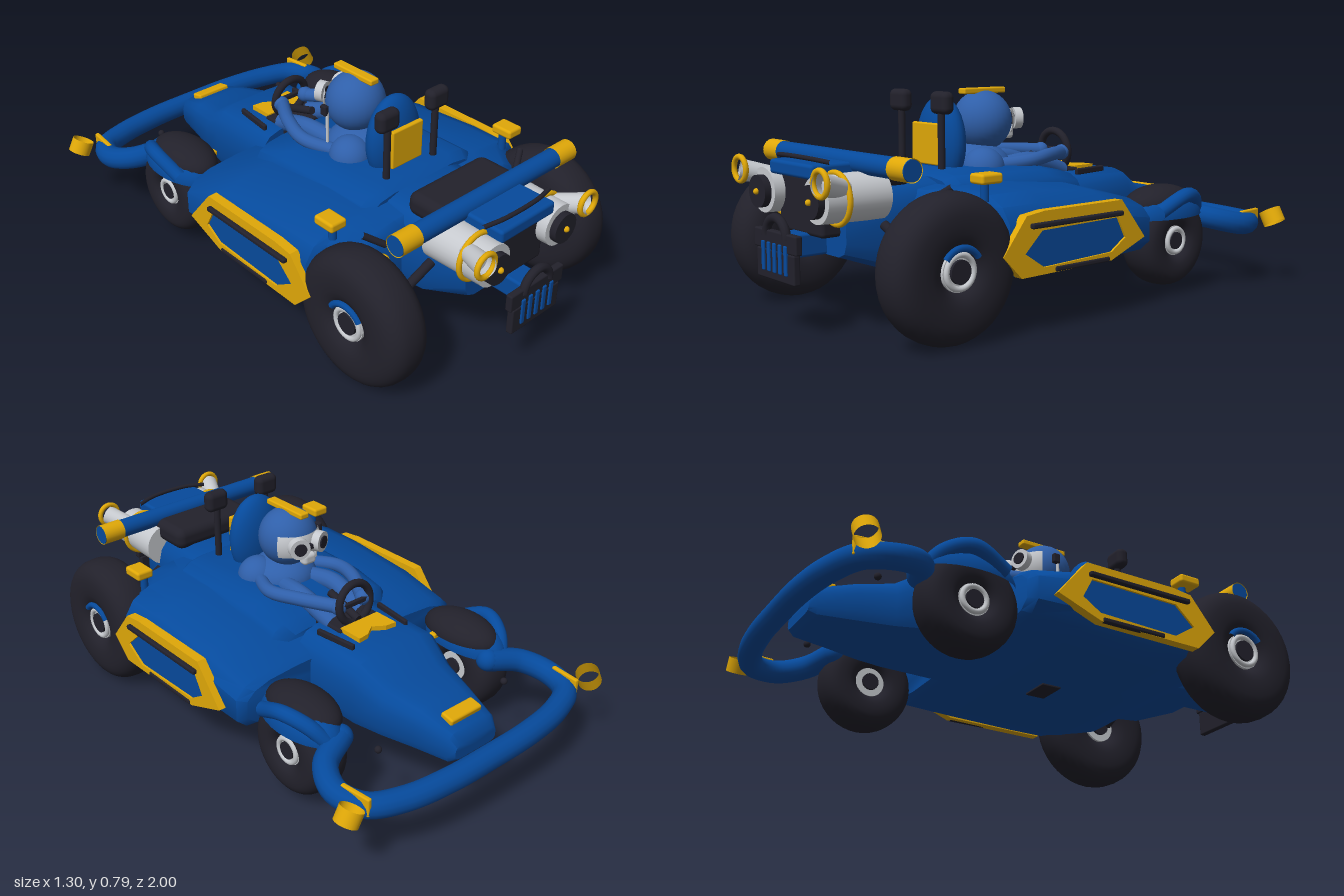
import * as THREE from 'three';
import { toCreasedNormals } from 'three/addons/utils/BufferGeometryUtils.js';
import { RoundedBoxGeometry } from 'three/addons/geometries/RoundedBoxGeometry.js';

const mat = (name, color, side = THREE.FrontSide) => {
  const m = new THREE.MeshStandardMaterial({ color, side });
  m.name = name;
  return m;
};

export function createModel() {
  const blue = mat('body blue', 0x064a9c);
  const suit = mat('suit blue', 0x2f5fa9);
  const dark = mat('rubber black', 0x22212b);
  const gold = mat('gold trim', 0xe0a808, THREE.DoubleSide);
  const silver = mat('silver', 0xc6c9ce, THREE.DoubleSide);
  const model = new THREE.Group();
  model.name = 'kart';

  const add = (name, geo, material, pos = [0, 0, 0], rot = [0, 0, 0], scale = [1, 1, 1]) => {
    const m = new THREE.Mesh(geo, material);
    m.name = name;
    m.position.set(...pos);
    m.rotation.set(...rot);
    m.scale.set(...scale);
    model.add(m);
  };
  const box = (w, h, d, r = 0.01) => new RoundedBoxGeometry(w, h, d, 3, r);
  const cyl = (r, h, r2 = r, open = false) => new THREE.CylinderGeometry(r, r2, h, 28, 1, open);
  const ball = (r) => new THREE.SphereGeometry(r, 28, 20);
  const tube = (pts, r, n = 32) => new THREE.TubeGeometry(
    new THREE.CatmullRomCurve3(pts.map((p) => new THREE.Vector3(...p))), n, r, 14);
  const both = (fn) => [1, -1].forEach(fn);
  const H = Math.PI / 2;

  // Shell through sections [z, half width, bottom, top], z rising
  const half = [[0.72, 0], [0.92, 0.07], [1, 0.25], [1, 0.66], [0.93, 0.84], [0.8, 0.95], [0.55, 1]];
  const ring = [...half, ...half.map(([x, y]) => [-x, y]).reverse()];
  const loft = (sections) => {
    const pos = [], idx = [], n = ring.length, last = sections.length - 1;
    sections.forEach(([z, w, b, t]) => ring.forEach(([x, y]) => pos.push(x * w, b + y * (t - b), z)));
    for (let j = 0; j < last; j++) for (let i = 0; i < n; i++) {
      const a = j * n + i, b = j * n + (i + 1) % n;
      idx.push(a, b, a + n, b, b + n, a + n);
    }
    [0, last].forEach((j) => {
      const [z, , b, t] = sections[j], c = pos.length / 3;
      pos.push(0, (b + t) / 2, z);
      for (let i = 0; i < n; i++) {
        const p = j * n + i, q = j * n + (i + 1) % n;
        idx.push(c, j ? p : q, j ? q : p);
      }
    });
    const g = new THREE.BufferGeometry();
    g.setAttribute('position', new THREE.Float32BufferAttribute(pos, 3));
    g.setIndex(idx);
    return toCreasedNormals(g, 0.75);
  };

  // Bodywork
  add('sidePods', loft([[-0.275, 0.5, 0.21, 0.38], [-0.25, 0.53, 0.19, 0.40], [-0.05, 0.535, 0.18, 0.45],
    [0.25, 0.535, 0.17, 0.48], [0.43, 0.535, 0.17, 0.48], [0.45, 0.49, 0.17, 0.48],
    [0.54, 0.42, 0.18, 0.47], [0.565, 0.38, 0.2, 0.44]]), blue);
  add('cockpit', loft([[-0.18, 0.25, 0.3, 0.44], [-0.14, 0.285, 0.3, 0.48], [0.0, 0.29, 0.3, 0.51],
    [0.42, 0.29, 0.3, 0.52], [0.455, 0.265, 0.3, 0.5]]), blue);
  add('nose', loft([[-0.885, 0.1, 0.22, 0.28], [-0.86, 0.115, 0.2, 0.32], [-0.73, 0.145, 0.195, 0.36],
    [-0.6, 0.18, 0.19, 0.385], [-0.49, 0.21, 0.19, 0.455], [-0.2, 0.21, 0.185, 0.46]]), blue);
  add('engineHousing', loft([[0.42, 0.22, 0.18, 0.5], [0.65, 0.21, 0.2, 0.5], [0.82, 0.17, 0.26, 0.46]]), blue);
  add('engineCover', box(0.38, 0.09, 0.19, 0.035), dark, [0, 0.53, 0.645]);
  add('rearPanel', box(0.27, 0.2, 0.1, 0.015), dark, [0, 0.43, 0.84]);
  add('rearDeck', box(0.27, 0.05, 0.17, 0.012), blue, [0, 0.55, 0.84]);
  add('rearLip', tube([[-0.165, 0.582, 0.87], [-0.08, 0.589, 0.89], [0.08, 0.589, 0.89], [0.165, 0.582, 0.87]], 0.008), dark);
  add('noseBadge', box(0.15, 0.03, 0.055, 0.008), gold, [0, 0.338, -0.81], [-0.2, 0, 0]);
  add('floorVent', box(0.12, 0.008, 0.08, 0.002), dark, [0, 0.168, 0.1]);

  // Cowl, dashboard and steering
  const cowl = new THREE.Shape([[-0.09, -0.05], [0.09, -0.05], [0.09, 0.05], [0.045, 0.045], [0, 0.015], [-0.045, 0.045], [-0.09, 0.05]]
    .map((p) => new THREE.Vector2(...p)));
  add('cowl', new THREE.ExtrudeGeometry(cowl, { depth: 0.02, bevelEnabled: false }), gold, [0, 0.455, -0.35], [-H, 0, 0]);
  add('dashboard', box(0.2, 0.06, 0.14), dark, [0, 0.44, -0.24]);
  add('steeringColumn', cyl(0.015, 0.16), dark, [0, 0.5, -0.22], [H - 0.3, 0, 0]);
  add('steeringWheel', new THREE.TorusGeometry(0.075, 0.015, 12, 32), dark, [0, 0.535, -0.275], [0.1, 0, 0]);
  add('steeringSpoke', box(0.14, 0.02, 0.015, 0.005), dark, [0, 0.535, -0.275]);
  both((s) => add('cockpitRail', box(0.016, 0.025, 0.17, 0.006), dark, [s * 0.14, 0.46, -0.33], [0, s * 0.12, 0]));

  // Side panels: gold frame, blue inset, dark strips
  const outline = (pts) => pts.map(([z, y]) => new THREE.Vector2(-z, y));
  const inner = outline([[0.385, 0.28], [0.31, 0.35], [-0.05, 0.355], [-0.09, 0.28], [-0.02, 0.235], [0.3, 0.225]]);
  const frame = new THREE.Shape(outline([[0.48, 0.28], [0.38, 0.405], [0.3, 0.415], [-0.07, 0.415], [-0.19, 0.27], [-0.02, 0.205], [0.4, 0.2]]));
  frame.holes.push(new THREE.Path(inner));
  const plate = (shape, depth) => new THREE.ExtrudeGeometry(shape, { depth, bevelEnabled: false })
    .translate(0, 0, -depth / 2).rotateY(H);
  both((s) => {
    add('sidePanelFrame', plate(frame, 0.036), gold, [s * 0.542, 0, 0]);
    add('sidePanelInset', plate(new THREE.Shape(inner), 0.03), blue, [s * 0.537, 0, 0]);
    add('sideStrip', box(0.02, 0.018, 0.43, 0.006), dark, [s * 0.567, 0.37, 0.15]);
    add('lowerStrip', box(0.02, 0.018, 0.26, 0.006), dark, [s * 0.555, 0.212, 0.12]);
  });

  // Wheels
  const wheel = (name, x, y, z, R, w, hub) => {
    const s = Math.sign(x), a = (R - hub) / 2, pts = [];
    const soft = (v) => Math.sign(v) * Math.abs(v) ** 0.8;
    for (let i = 0; i <= 28; i++) {
      const t = (i / 28) * Math.PI * 2 - Math.PI;
      pts.push(new THREE.Vector2(hub + a + a * soft(Math.cos(t)), (w / 2) * soft(Math.sin(t))));
    }
    add(name + 'Tyre', new THREE.LatheGeometry(pts, 40), dark, [x, y, z], [0, 0, H]);
    add(name + 'Rim', cyl(hub + 0.012, w * 0.72), silver, [x, y, z], [0, 0, H]);
    add(name + 'HubRing', new THREE.TorusGeometry(hub, 0.01, 10, 28), silver, [x + s * w * 0.38, y, z], [0, H, 0]);
    add(name + 'Hub', cyl(hub * 0.72, w * 0.84), dark, [x, y, z], [0, 0, H]);
  };
  const dome = new THREE.SphereGeometry(1, 28, 12, 0, Math.PI * 2, 0, H);
  both((s) => {
    wheel('rear', s * 0.467, 0.253, 0.638, 0.25, 0.18, 0.055);
    add('wheelArc', new THREE.TorusGeometry(0.08, 0.012, 8, 20, 1.9), blue, [s * 0.545, 0.25, 0.638], [0.6, H, 0]);
    wheel('front', s * 0.412, 0.21, -0.46, 0.178, 0.165, 0.045);
    add('frontFender', dome, blue, [s * 0.412, 0.3, -0.46], [0, 0, 0], [0.102, 0.108, 0.185]);
    add('fenderPad', dome, dark, [s * 0.395, 0.345, -0.45], [0, 0, 0], [0.1, 0.075, 0.165]);
    add('fenderArm', tube([[s * 0.42, 0.29, -0.63], [s * 0.47, 0.36, -0.57], [s * 0.505, 0.385, -0.48], [s * 0.49, 0.33, -0.35]], 0.028), blue);
    add('fenderTab', box(0.03, 0.02, 0.03, 0.006), gold, [s * 0.3, 0.34, -0.4]);
    add('rearArm', tube([[s * 0.2, 0.365, 0.69], [s * 0.4, 0.265, 0.68]], 0.017, 4), dark);
    add('rearUpperArm', tube([[s * 0.33, 0.45, 0.6], [s * 0.4, 0.5, 0.56]], 0.012, 4), dark);
    for (let i = 0; i < 4; i++)
      add('springCoil', new THREE.TorusGeometry(0.02, 0.009, 8, 16), gold, [s * 0.37, 0.33 + i * 0.03, 0.62], [H, 0, 0]);
    add('shoulderLamp', box(0.07, 0.035, 0.09), gold, [s * 0.445, 0.525, 0.455]);
    add('lampStalk', cyl(0.015, 0.07), blue, [s * 0.43, 0.48, 0.45]);
  });

  // Front bumper
  const arc = [[0.37, 0.3, -0.61], [0.49, 0.275, -0.67], [0.535, 0.25, -0.77], [0.5, 0.24, -0.87], [0.38, 0.235, -0.925], [0.2, 0.235, -0.952]];
  add('bumper', tube([...arc, [0, 0.235, -0.956], ...arc.map(([x, y, z]) => [-x, y, z]).reverse()], 0.044, 90), blue);
  both((s) => {
    add('bumperEnd', ball(0.044), blue, [s * 0.37, 0.3, -0.61]);
    add('bumperRing', cyl(0.043, 0.055, 0.043, true), gold, [s * 0.598, 0.27, -0.9], [0, 0, s * 0.5]);
    add('bumperStrip', box(0.018, 0.07, 0.12, 0.006), gold, [s * 0.522, 0.26, -0.85], [0, s * 0.1, 0]);
    add('frontStud', ball(0.013), dark, [s * 0.315, 0.29, -0.735]);
  });

  // Seat back and mirrors
  add('headrest', ball(1), blue, [0, 0.6, 0.295], [0, 0, 0], [0.12, 0.17, 0.066]);
  add('seatPlate', box(0.15, 0.15, 0.02, 0.006), gold, [0, 0.6, 0.362]);
  both((s) => {
    add('mirror', box(0.095, 0.08, 0.05, 0.022), dark, [s * 0.122, 0.752, 0.385]);
    add('mirrorStem', cyl(0.013, 0.24), dark, [s * 0.118, 0.61, 0.385]);
  });

  // Driver
  add('torso', ball(1), suit, [0, 0.5, 0.13], [0, 0, 0], [0.13, 0.09, 0.13]);
  add('helmet', ball(1), suit, [0, 0.67, 0.1], [0, 0, 0], [0.113, 0.113, 0.11]);
  add('helmetCrest', box(0.04, 0.022, 0.2, 0.006), gold, [0, 0.781, 0.1]);
  add('visor', new THREE.SphereGeometry(0.117, 28, 8, Math.PI + 0.5, Math.PI - 1, 1.2, 0.75), silver, [0, 0.67, 0.095]);
  add('visorBand', box(0.1, 0.022, 0.03, 0.006), dark, [0, 0.668, -0.02]);
  add('mouthpiece', box(0.06, 0.045, 0.04, 0.015), silver, [0, 0.618, -0.015]);
  both((s) => {
    add('goggleRim', cyl(0.04, 0.03), silver, [s * 0.05, 0.675, -0.025], [H, 0, s * 0.35]);
    add('goggleLens', cyl(0.024, 0.037), dark, [s * 0.05, 0.675, -0.027], [H, 0, s * 0.35]);
    add('shoulder', ball(0.08), suit, [s * 0.09, 0.5, 0.17]);
    add('arm', tube([[s * 0.11, 0.51, 0.14], [s * 0.165, 0.525, 0.0], [s * 0.135, 0.535, -0.12], [s * 0.06, 0.53, -0.25]], 0.026), suit);
    add('hand', ball(0.03), suit, [s * 0.06, 0.53, -0.255]);
    add('leg', tube([[s * 0.06, 0.5, 0.05], [s * 0.08, 0.51, -0.08], [s * 0.07, 0.46, -0.24]], 0.035), suit);
  });
  add('radio', box(0.02, 0.04, 0.03, 0.006), dark, [-0.135, 0.67, 0.08]);
  add('radioStalk', cyl(0.006, 0.16), silver, [-0.13, 0.58, 0.09]);

  // Rear bar, turbines and pipes
  add('rearBar', cyl(0.036, 0.865), blue, [0, 0.57, 0.742], [0, 0, H]);
  both((s) => {
    add('rearBarCap', cyl(0.039, 0.09, 0.039, true), gold, [s * 0.388, 0.57, 0.742], [0, 0, H]);
    add('turbine', cyl(0.078, 0.24, 0.084), silver, [s * 0.168, 0.465, 0.81], [H, 0, 0]);
    add('turbineRing', new THREE.TorusGeometry(0.085, 0.01, 10, 32), gold, [s * 0.168, 0.465, 0.855]);
    add('turbineCore', cyl(0.056, 0.03), dark, [s * 0.168, 0.462, 0.94], [H, 0, 0]);
    add('turbineTip', ball(0.011), gold, [s * 0.168, 0.462, 0.957]);
    add('exhaustPipe', cyl(0.038, 0.13, 0.032, true), silver, [s * 0.235, 0.515, 0.91], [H - 0.25, 0, -s * 0.4]);
    add('exhaustRing', new THREE.TorusGeometry(0.042, 0.01, 10, 28), gold, [s * 0.258, 0.532, 0.968]);
  });

  // Rear grille
  add('grilleFrame', box(0.24, 0.1, 0.026, 0.006), dark, [0, 0.235, 0.975]);
  add('grilleTop', box(0.27, 0.065, 0.026, 0.006), dark, [0, 0.318, 0.975]);
  add('grilleArch', new THREE.TorusGeometry(0.065, 0.016, 10, 28, Math.PI), dark, [0, 0.33, 0.98]);
  add('grilleMount', box(0.1, 0.08, 0.2), blue, [0, 0.3, 0.87]);
  for (let i = -2; i <= 2; i++)
    add('grilleBar', box(0.018, 0.1, 0.012, 0.004), blue, [i * 0.036, 0.262, 0.988]);

  return model;
}
